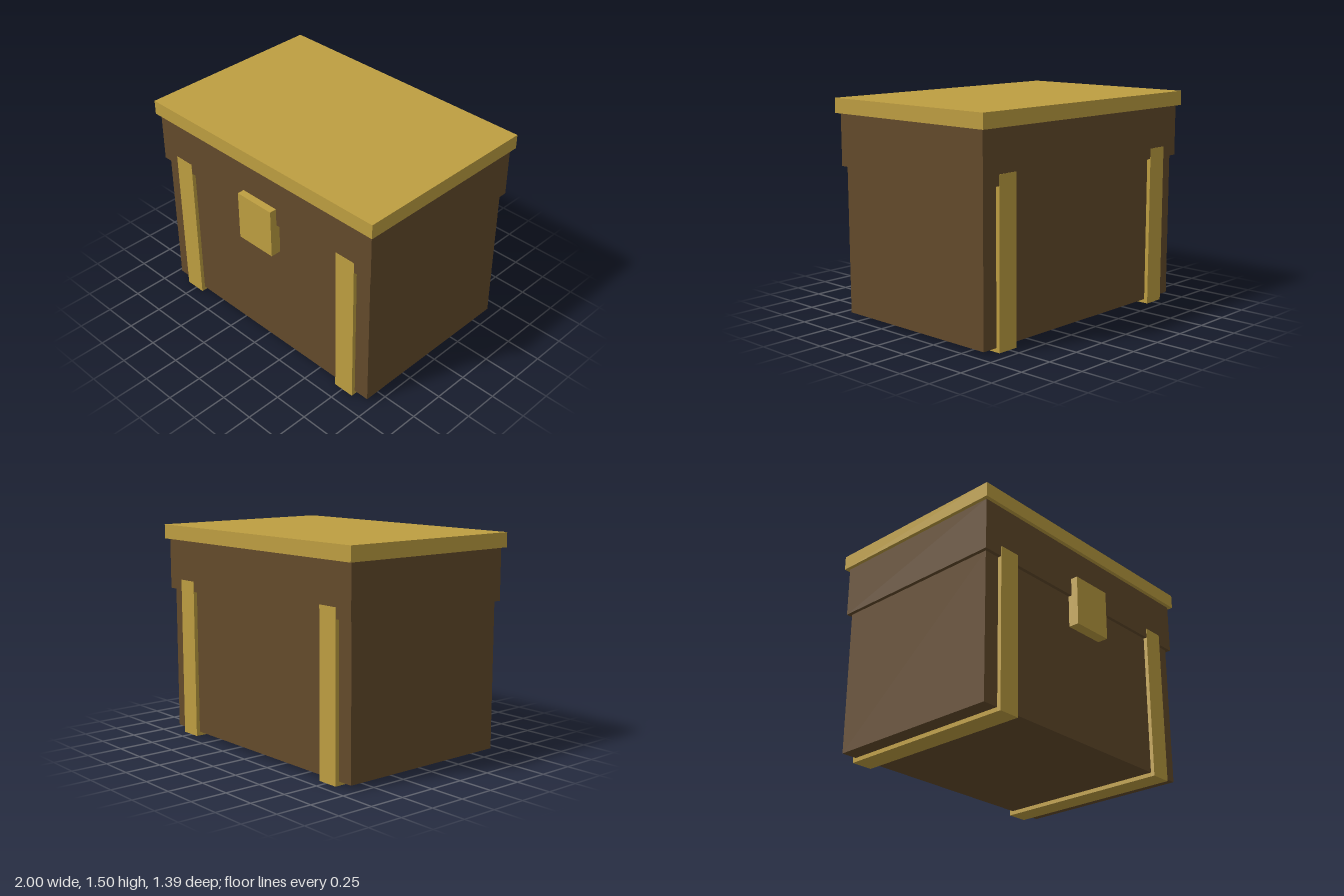
import * as THREE from 'three';

export function createModel() {
  const chest = new THREE.Group();
  chest.name = 'chest';

  const wood = new THREE.MeshStandardMaterial({ color: 0x634a2b });
  wood.name = 'dark wood';
  const brass = new THREE.MeshStandardMaterial({ color: 0xbe9e41 });
  brass.name = 'brass';

  // Box given by its lower and upper limits on each axis
  function block(name, material, [x0, x1], [y0, y1], [z0, z1], parent = chest) {
    const mesh = new THREE.Mesh(new THREE.BoxGeometry(x1 - x0, y1 - y0, z1 - z0), material);
    mesh.position.set((x0 + x1) / 2, (y0 + y1) / 2, (z0 + z1) / 2);
    mesh.name = name;
    parent.add(mesh);
  }

  // Body, overhanging lid and top plate
  block('body', wood, [-0.95, 0.95], [0.028, 1.04], [-0.643, 0.62]);
  block('lid', wood, [-0.975, 0.975], [1.04, 1.395], [-0.668, 0.645]);
  block('topPlate', brass, [-1, 1], [1.395, 1.495], [-0.695, 0.671]);

  // Straps running down the front, under the body and up the back;
  // they stand just proud of the lid
  const front = 0.647, back = -0.67;
  for (const [side, x] of [['left', [0.685, 0.838]], ['right', [-0.838, -0.685]]]) {
    const strap = new THREE.Group();
    strap.name = side + 'Strap';
    chest.add(strap);
    block('strapFront', brass, x, [0, 1.112], [0.62, front], strap);
    block('strapBack', brass, x, [0, 1.112], [back, -0.643], strap);
    block('strapBottom', brass, x, [0, 0.028], [-0.643, 0.62], strap);
  }

  // Clasp plate across the lid seam
  block('clasp', brass, [-0.153, 0.153], [0.815, 1.165], [0.62, 0.695]);

  return chest;
}
